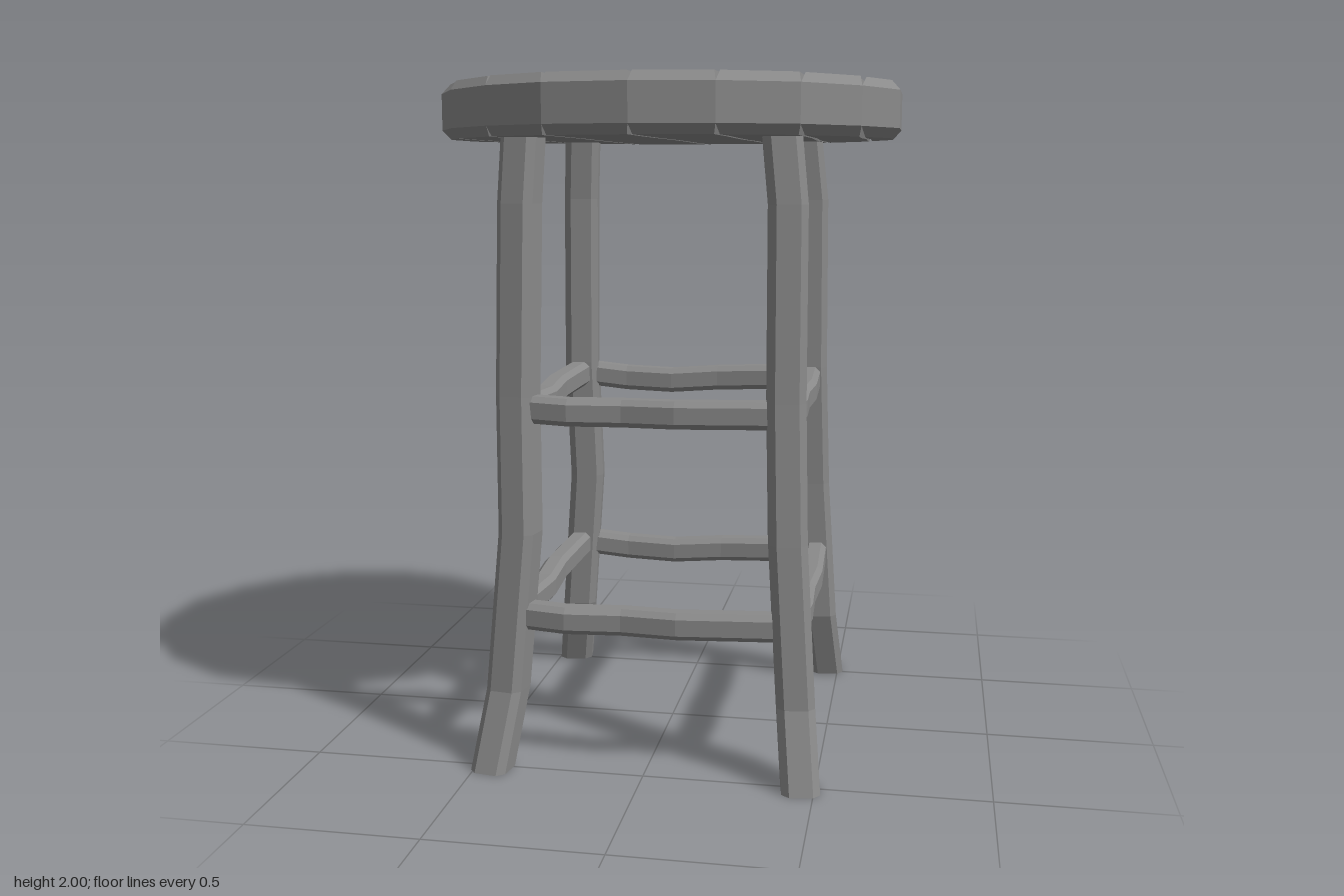
import * as THREE from 'three';

const material = new THREE.MeshStandardMaterial({ color: 0x8a8a8a, flatShading: true, side: THREE.DoubleSide });

// Open-ended chamfered square beam swept along a path, with section axes U and W
function beam(name, path, U, W, halfU, halfW, chamfer) {
  const n = path.length - 1;
  const geo = new THREE.CylinderGeometry(1, 1, 1, 8, n, true, Math.PI / 8);
  const pos = geo.attributes.position;
  const size = (s, half) => Math.sign(s) * (Math.abs(s) > 0.7 ? half : half - chamfer);
  for (let i = 0; i < pos.count; i++) {
    const p = path[Math.round((0.5 - pos.getY(i)) * n)].clone();
    p.addScaledVector(U, size(pos.getX(i), halfU)).addScaledVector(W, size(pos.getZ(i), halfW));
    pos.setXYZ(i, p.x, p.y, p.z);
  }
  geo.computeVertexNormals();
  const mesh = new THREE.Mesh(geo, material);
  mesh.name = name;
  return mesh;
}

// Leg centre lines, sampled at shared heights
const heights = [1.85, 1.65, 1.1, 0.7, 0.23, 0];
const legX = { '-1': [-0.368, -0.378, -0.385, -0.377, -0.415, -0.448], '1': [0.37, 0.391, 0.395, 0.407, 0.437, 0.46] };
const legZ = { '-1': [-0.362, -0.38, -0.395, -0.425, -0.45, -0.525], '1': [0.36, 0.376, 0.4, 0.427, 0.45, 0.517] };

function legPoint(sx, sz, y) {
  let k = 0;
  while (y < heights[k + 1]) k++;
  const t = (heights[k] - y) / (heights[k] - heights[k + 1]);
  return new THREE.Vector3(
    THREE.MathUtils.lerp(legX[sx][k], legX[sx][k + 1], t), y,
    THREE.MathUtils.lerp(legZ[sz][k], legZ[sz][k + 1], t));
}

// Leg, its section turned slightly about the upright axis
function leg(name, sx, sz) {
  const turn = sx < 0 && sz > 0 ? -0.15 : 0.15;
  const U = new THREE.Vector3(Math.cos(turn), 0, -Math.sin(turn));
  const W = new THREE.Vector3(Math.sin(turn), 0, Math.cos(turn));
  return beam(name, heights.map(y => legPoint(sx, sz, y)), U, W, 0.055, 0.055, 0.021);
}

// Rung between two legs with a hand-hewn bow and sag
function rung(name, a, b, bow, sag) {
  const out = new THREE.Vector3((a.x + b.x) / 2, 0, (a.z + b.z) / 2).normalize();
  const wave = [0, 0.9, 0.3, 1, 0.5, 0];
  const dip = [0, 0.8, 1, 0.5, 0.2, 0];
  const path = wave.map((w, i) => {
    const p = a.clone().lerp(b, i / (wave.length - 1)).addScaledVector(out, w * bow);
    p.y -= dip[i] * sag;
    return p;
  });
  const W = new THREE.Vector3(0, 1, 0);
  const U = a.clone().sub(b).normalize().cross(W);
  return beam(name, path, U, W, 0.036, 0.04, 0.016);
}

// Seat plank: a box whose rows are bent to the seat outline and chamfered
function plank(x0, x1, z0, z1, index, count) {
  const geo = new THREE.BoxGeometry(2, 2, 2, 1, 3, 6);
  const pos = geo.attributes.position;
  const slope = (z1 - z0) / (x1 - x0);
  const endInset = 0.026 * Math.hypot(1, slope);
  for (let i = 0; i < pos.count; i++) {
    const right = pos.getX(i) > 0, v = pos.getZ(i), level = pos.getY(i);
    const capped = Math.abs(level) > 0.9;
    const seam = right ? index + 1 : index;
    const rim = seam === 0 || seam === count;
    let x = right ? x1 : x0;
    if (!rim) x += 0.006 * Math.sin(v * 4 + seam * 2.1) * (1 - v * v);
    if (capped) x += (right ? -1 : 1) * (rim ? 0.025 : 0.007);
    const z = v * (z0 + slope * (x - x0) - (capped ? endInset : 0));
    const y = 1.917 + Math.sign(level) * (capped ? 0.082 : 0.054);
    pos.setXYZ(i, x, y, z);
  }
  geo.computeVertexNormals();
  const mesh = new THREE.Mesh(geo, material);
  mesh.name = 'seatPlank' + (index + 1);
  return mesh;
}

export function createModel() {
  const model = new THREE.Group();
  model.name = 'stool';

  // Seat
  const seat = new THREE.Group();
  seat.name = 'seat';
  const seamX = [-0.688, -0.585, -0.422, -0.237, 0.003, 0.227, 0.437, 0.587, 0.685];
  const seamZ = [0.13, 0.35, 0.54, 0.65, 0.687, 0.65, 0.54, 0.35, 0.125];
  const count = seamX.length - 1;
  for (let i = 0; i < count; i++) {
    seat.add(plank(seamX[i], seamX[i + 1], seamZ[i], seamZ[i + 1], i, count));
  }
  model.add(seat);

  // Legs
  for (const sx of [-1, 1]) for (const sz of [-1, 1]) {
    model.add(leg((sz > 0 ? 'front' : 'back') + (sx > 0 ? 'Left' : 'Right') + 'Leg', sx, sz));
  }

  // Two tiers of rungs
  for (const [tier, y] of [['upper', 1.062], ['lower', 0.455]]) {
    for (const s of [1, -1]) {
      model.add(rung(tier + (s > 0 ? 'Front' : 'Back') + 'Rung',
        legPoint(-1, s, y), legPoint(1, s, y), s > 0 ? 0.027 : 0.012, s > 0 ? 0.004 : 0.022));
      model.add(rung(tier + (s > 0 ? 'Left' : 'Right') + 'Rung',
        legPoint(s, 1, y), legPoint(s, -1, y), 0.012, s > 0 ? 0.004 : 0.022));
    }
  }
  return model;
}
